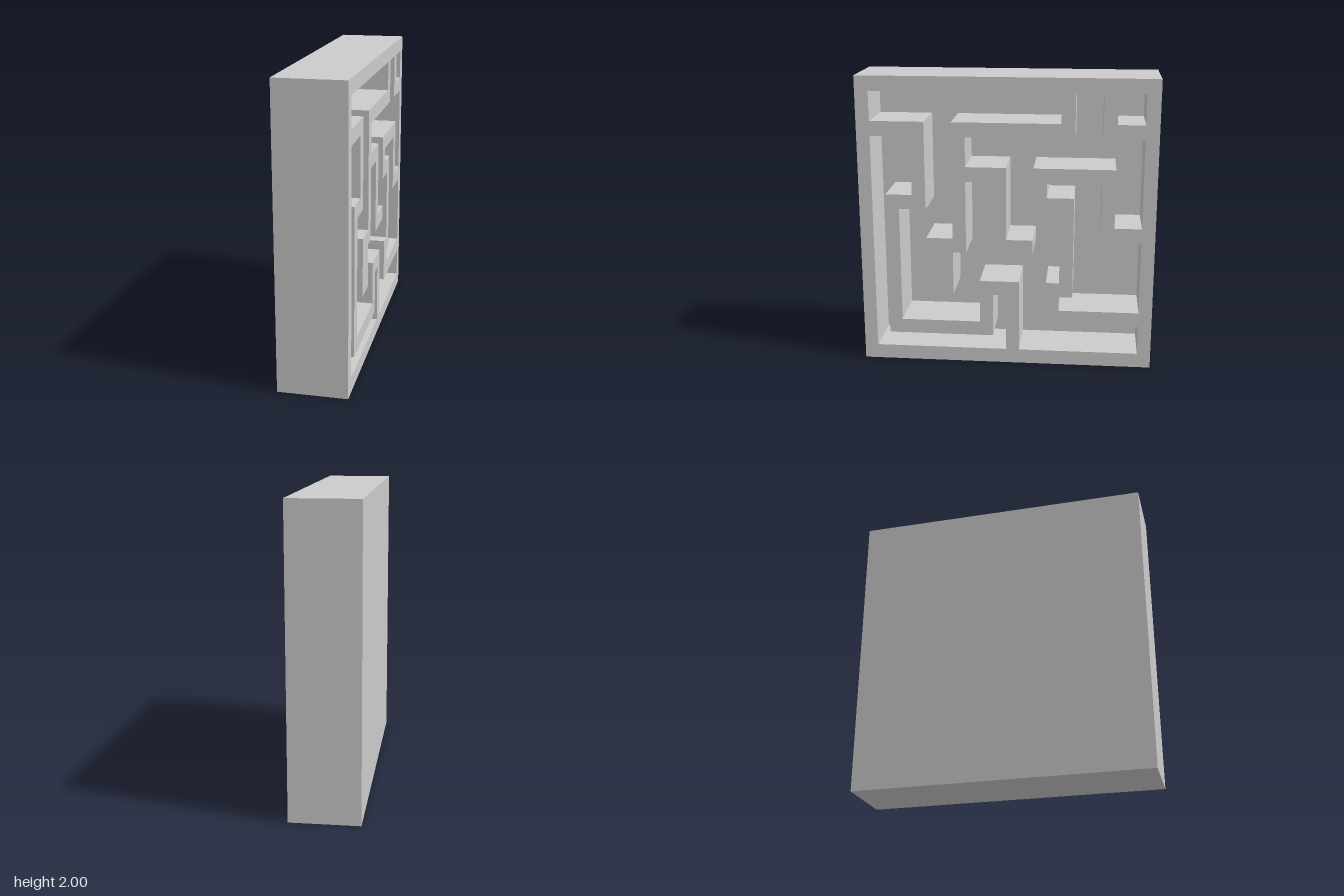
import * as THREE from 'three';

const WIDTH = 2, HEIGHT = 2, FRONT_X = 0.23, BACK_X = -0.23, FLOOR_X = -0.12;
const COLS = 22, ROWS = 20;

// Channel outlines as [column, row] corners on the maze grid
const channels = [
  // long winding channel
  [[1, 19], [15, 19], [15, 17], [7, 17], [7, 9], [5, 9], [5, 5], [7, 5], [7, 8], [8, 8],
    [8, 13], [10, 13], [10, 8], [13, 8], [13, 9], [11, 9], [11, 14], [8, 14], [8, 16], [16, 16],
    [16, 19], [18, 19], [18, 16], [21, 16], [21, 10], [19, 10], [19, 14], [13, 14], [13, 11], [15, 11],
    [15, 6], [14, 6], [14, 3], [21, 3], [21, 1], [12, 1], [12, 6], [9, 6], [9, 3], [3, 3],
    [3, 11], [5, 11], [5, 17], [1, 17]],
  // channel along the lower front corner
  [[1, 16], [4, 16], [4, 12], [2, 12], [2, 2], [10, 2], [10, 5], [11, 5], [11, 1], [1, 1]],
  // hooked channel near the rear
  [[14, 13], [18, 13], [18, 9], [21, 9], [21, 4], [15, 4], [15, 5], [16, 5], [16, 12], [14, 12]],
  // single cell in the top rear corner
  [[19, 19], [21, 19], [21, 17], [19, 17]],
];

const toPoint = ([c, r]) =>
  new THREE.Vector2((c / COLS) * WIDTH - WIDTH / 2, (r / ROWS) * HEIGHT);

export function createModel() {
  const group = new THREE.Group();
  group.name = 'mazePanel';
  const material = new THREE.MeshStandardMaterial({ color: 0xcccccc });

  // Walls: a square slab with the channels cut through, extruded toward +x
  const outline = new THREE.Shape([[0, 0], [COLS, 0], [COLS, ROWS], [0, ROWS]].map(toPoint));
  outline.holes = channels.map((corners) => new THREE.Path(corners.map(toPoint)));
  const wallGeometry = new THREE.ExtrudeGeometry(outline, {
    depth: FRONT_X - FLOOR_X,
    bevelEnabled: false,
  });
  wallGeometry.rotateY(Math.PI / 2);
  wallGeometry.translate(FLOOR_X, 0, 0);
  const walls = new THREE.Mesh(wallGeometry, material);
  walls.name = 'mazeWalls';
  group.add(walls);

  // Solid plate closing the channels from behind
  const thickness = FLOOR_X - BACK_X;
  const plate = new THREE.Mesh(new THREE.BoxGeometry(thickness, HEIGHT, WIDTH), material);
  plate.position.set(BACK_X + thickness / 2, HEIGHT / 2, 0);
  plate.name = 'backPlate';
  group.add(plate);

  return group;
}
